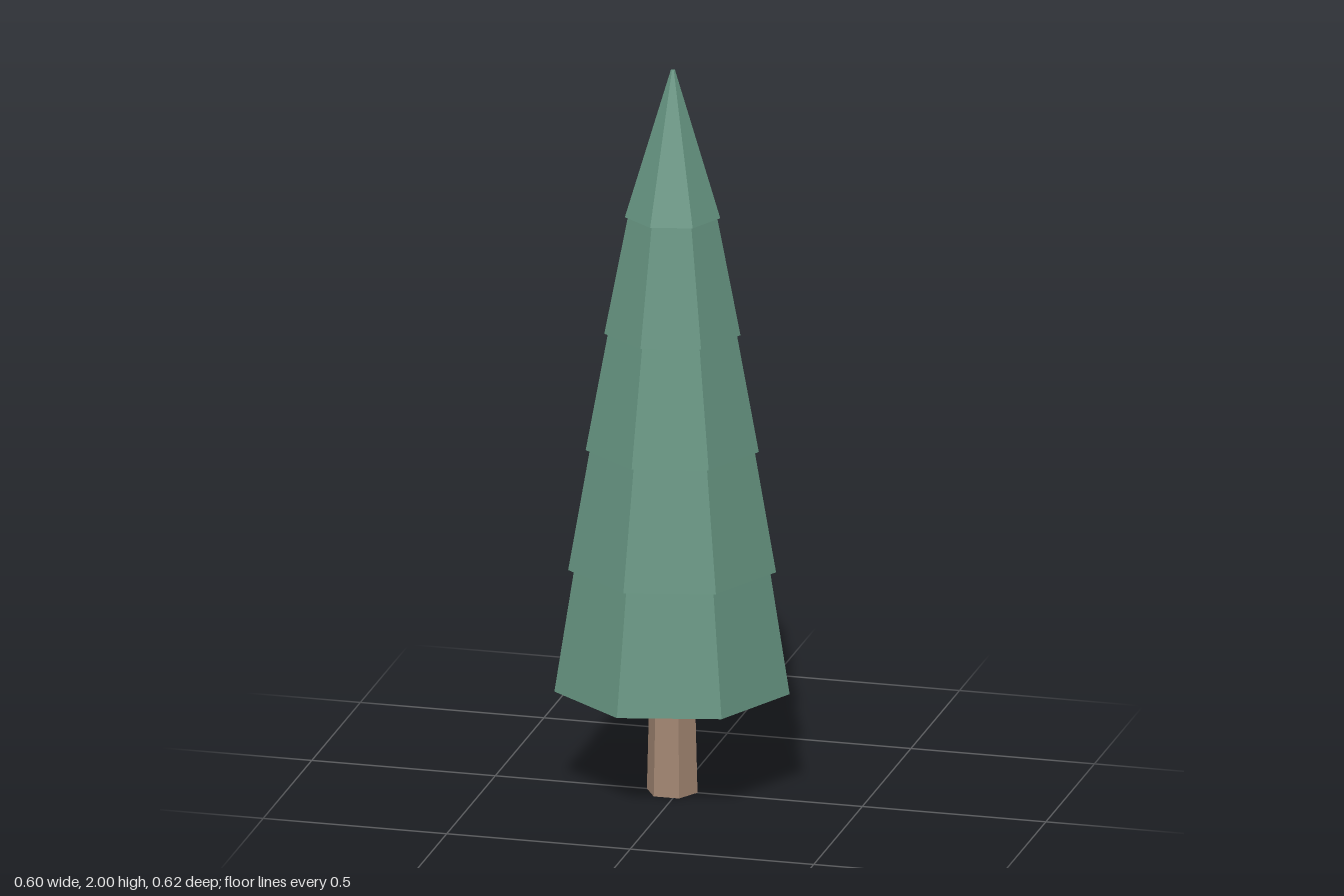
import * as THREE from 'three';

export function createModel() {
  const tree = new THREE.Group();
  tree.name = 'pineTree';

  const foliage = new THREE.MeshStandardMaterial({ color: 0x659380 });
  foliage.name = 'foliage green';
  const bark = new THREE.MeshStandardMaterial({ color: 0xa28672 });
  bark.name = 'bark brown';

  // Low-poly tapered prism with one corner pointing to +x
  function taper(name, sides, y0, y1, r0, r1, material, x) {
    const geometry = new THREE.CylinderGeometry(r1, r0, y1 - y0, sides, 1, false, Math.PI / 2).toNonIndexed();
    geometry.computeVertexNormals(); // faceted sides
    const mesh = new THREE.Mesh(geometry, material);
    mesh.name = name;
    mesh.position.set(x, (y0 + y1) / 2, 0);
    tree.add(mesh);
  }

  // Six-sided trunk, ending just inside the lowest tier
  taper('trunk', 6, 0, 0.36, 0.069, 0.06, bark, -0.018);

  // Seven-sided foliage tiers: bottom y, top y, bottom radius, top radius
  const tiers = [
    [0.295, 0.68, 0.318, 0.257],
    [0.63, 1.01, 0.281, 0.214],
    [0.96, 1.33, 0.234, 0.165],
    [1.28, 1.65, 0.184, 0.111],
    [1.6, 2, 0.129, 0.006],
  ];
  tiers.forEach(([y0, y1, r0, r1], i) =>
    taper(`foliageTier${i + 1}`, 7, y0, y1, r0, r1, foliage, -0.016));

  return tree;
}
